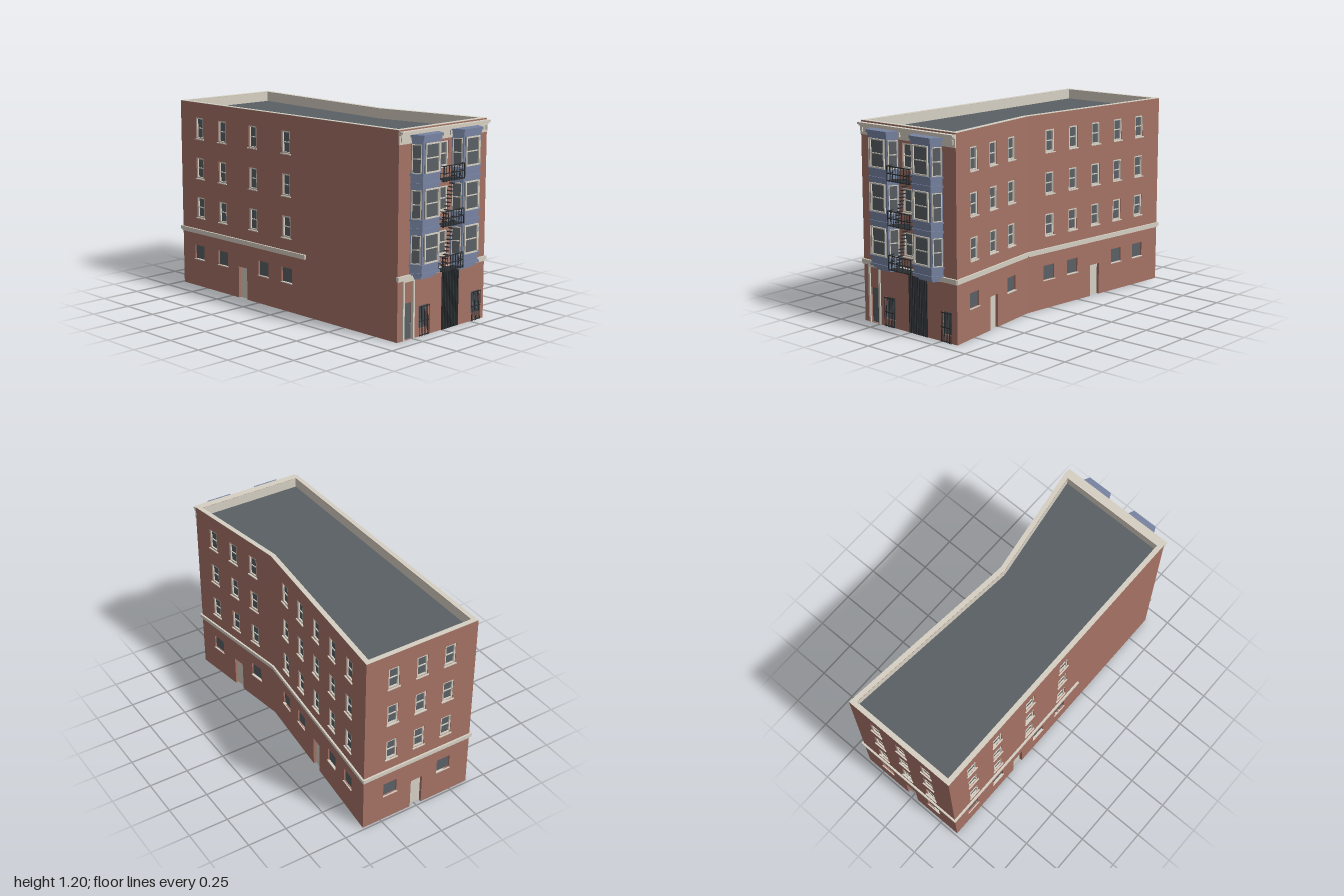
import * as THREE from 'three';

const paint = (name, color) => Object.assign(new THREE.MeshStandardMaterial({ color }), { name });

export function createModel() {
  const brick = paint('brick', 0xa57265);
  const cream = paint('cream stone', 0xd6d0c3);
  const liner = paint('interior plaster', 0xd6d0c3);
  liner.side = THREE.DoubleSide;
  const slate = paint('slate and glass', 0x5a6065);
  const blue = paint('bay blue', 0x7884a2);
  const iron = paint('black iron', 0x2b2f32);

  const model = new THREE.Group();
  model.name = 'cornerBuilding';
  const T = 0.03, H = 1.195, FZ = 0.92;
  const ROWS = [[0.455, 0.588], [0.71, 0.843], [0.965, 1.1]];

  const group = (parent, name) => {
    const g = new THREE.Group();
    g.name = name;
    parent.add(g);
    return g;
  };
  const add = (parent, name, geo, mat) => {
    const m = new THREE.Mesh(geo, mat);
    m.name = name;
    parent.add(m);
    return m;
  };
  const box = (parent, name, mat, x0, x1, y0, y1, z0, z1) => {
    const m = add(parent, name, new THREE.BoxGeometry(x1 - x0, y1 - y0, z1 - z0), mat);
    m.position.set((x0 + x1) / 2, (y0 + y1) / 2, (z0 + z1) / 2);
  };
  // square iron bar along one axis, between two points
  const bar = (parent, name, a, b, t) => {
    const h = t / 2;
    box(parent, name, iron, a[0] - h, b[0] + h, a[1] - h, b[1] + h, a[2] - h, b[2] + h);
  };

  // Footprint corners [x, z], front left round to back left
  const P = [[-0.375, FZ], [0.37, FZ], [0.26, 0.19], [0.372, -0.985], [-0.375, -0.985]]
    .map(p => new THREE.Vector2(...p));
  const N = P.length;
  const edgeDir = i => P[(i + 1) % N].clone().sub(P[i % N]).normalize();
  const inset = P.map((p, i) => {
    const a = edgeDir(i + N - 1), b = edgeDir(i);
    const n1 = new THREE.Vector2(a.y, -a.x), n2 = new THREE.Vector2(b.y, -b.x);
    return p.clone().addScaledVector(n1.clone().add(n2), T / (1 + n1.dot(n2)));
  });
  const flat = pts => pts.map(p => new THREE.Vector2(p.x, -p.y));

  // Double-hung window with frame of width f, meeting rail and optional sill
  function sashWindow(parent, u, y0, y1, w, z, f, sill) {
    const g = group(parent, 'sashWindow'), h = w / 2;
    g.position.x = u;
    box(g, 'glass', slate, -h, h, y0, y1, z - 0.003, z);
    for (const s of [-1, 1]) box(g, 'frameSide', cream, s * (h - f / 2) - f / 2, s * (h - f / 2) + f / 2, y0, y1, z, z + f);
    box(g, 'frameHead', cream, -h, h, y1 - f, y1, z, z + f);
    box(g, 'frameFoot', cream, -h, h, y0, y0 + f, z, z + f);
    const m = (y0 + y1) / 2;
    box(g, 'meetingRail', cream, -h, h, m - 0.003, m + 0.003, z, z + f * 0.6);
    if (sill) box(g, 'sill', cream, -h - 0.007, h + 0.007, y0 - 0.006, y0, -0.01, 0.008);
  }

  // Wall panel with mitred ends; doors are notches [u0, u1, h], holes are [u0, u1, y0, y1]
  function wall(i, name, doors, holes) {
    const a = P[i], b = P[(i + 1) % N], d = edgeDir(i), len = a.distanceTo(b);
    const g = group(model, name);
    g.position.set(a.x, 0, a.y);
    g.rotation.y = Math.atan2(-d.y, d.x);
    const s = new THREE.Shape().moveTo(0, 0);
    for (const [u0, u1, h] of doors.slice().sort((p, q) => p[0] - q[0]))
      s.lineTo(u0, 0).lineTo(u0, h).lineTo(u1, h).lineTo(u1, 0);
    s.lineTo(len, 0).lineTo(len, H).lineTo(0, H).closePath();
    const start = inset[i].clone().sub(a).dot(d), end = inset[(i + 1) % N].clone().sub(a).dot(d);
    const mitre = geo => {
      const p = geo.attributes.position;
      for (let k = 0; k < p.count; k++) {
        if (p.getZ(k) > -0.01) continue;
        if (p.getX(k) < 1e-4) p.setX(k, start);
        else if (p.getX(k) > len - 1e-4) p.setX(k, end);
      }
      geo.computeVertexNormals();
      return geo;
    };
    add(g, 'innerFace', mitre(new THREE.ShapeGeometry(s).translate(0, 0, -T - 0.001)), liner);
    for (const [u0, u1, y0, y1] of holes)
      s.holes.push(new THREE.Path().moveTo(u0, y0).lineTo(u0, y1).lineTo(u1, y1).lineTo(u1, y0).closePath());
    add(g, 'brickwork', mitre(new THREE.ExtrudeGeometry(s, { depth: T, bevelEnabled: false }).translate(0, 0, -T)), brick);
    return g;
  }
  const belt = (g, u0, u1) => {
    box(g, 'beltCourse', cream, u0, u1, 0.357, 0.378, -0.005, 0.012);
    box(g, 'beltCourseLower', cream, u0 + 0.005, u1 - 0.005, 0.348, 0.357, -0.005, 0.007);
  };

  // Side and back walls: columns, low windows and doors by distance along the wall
  function plainWall(i, name, cols, lows, doors, doorBack, beltEnds) {
    const holes = [];
    for (const u of cols) for (const [y0, y1] of ROWS) holes.push([u - 0.036, u + 0.036, y0, y1]);
    for (const u of lows) holes.push([u - 0.046, u + 0.046, 0.18, 0.27]);
    const g = wall(i, name, doors.map(u => [u - 0.04, u + 0.04, 0.2]), holes);
    for (const u of cols) for (const [y0, y1] of ROWS) sashWindow(g, u, y0, y1, 0.072, -0.012, 0.009, true);
    for (const u of lows) {
      box(g, 'lowWindow', slate, u - 0.046, u + 0.046, 0.18, 0.27, -0.014, -0.01);
      box(g, 'lowSill', cream, u - 0.05, u + 0.05, 0.175, 0.18, -0.01, 0.006);
    }
    for (const u of doors) {
      box(g, 'sideDoor', cream, u - 0.04, u + 0.04, 0, 0.2, -0.024, -0.018);
      box(g, 'sideDoorBack', doorBack, u - 0.04, u + 0.04, 0, 0.2, -0.033, -0.024);
    }
    belt(g, ...beltEnds);
  }
  const along = (i, zs) => zs.map(z => (z - P[i].y) / edgeDir(i).y);
  const len = i => P[i].distanceTo(P[(i + 1) % N]);
  plainWall(1, 'rightFrontWall', along(1, [0.75, 0.555, 0.365]), along(1, [0.75, 0.365]), along(1, [0.55]), cream, [-0.01, len(1)]);
  plainWall(2, 'rightBackWall', along(2, [0.005, -0.195, -0.395, -0.595, -0.795]),
    along(2, [0.008, -0.195, -0.595, -0.795]), along(2, [-0.398]), cream, [0, len(2) + 0.01]);
  plainWall(3, 'backWall', [0.184, 0.374, 0.564], [0.184, 0.564], [0.374], cream, [-0.007, len(3) + 0.01]);
  plainWall(4, 'leftWall', along(4, [-0.8, -0.58, -0.29, 0.01]), along(4, [-0.82, -0.585, -0.2, 0.01]),
    along(4, [-0.395]), slate, [-0.01, 1.167]);

  // Front wall, built in world x through an offset group
  const X = 0.375, mid = -0.005;
  const frontHoles = ROWS.map(([y0, y1]) => [mid - 0.038 + X, mid + 0.038 + X, y0 - 0.01, y1]);
  const barred = [[-0.198, -0.12], [0.256, 0.33]];
  for (const [a, b] of barred) frontHoles.push([a + X, b + X, 0.045, 0.18]);
  frontHoles.push([-0.322 + X, -0.252 + X, 0.002, 0.215]);
  const frontWall = wall(0, 'frontWall', [[-0.005 + X, 0.14 + X, 0.342]], frontHoles);
  belt(frontWall, -0.007, len(0) + 0.009);
  const front = group(model, 'frontDetails');
  front.position.z = FZ;
  for (const [y0, y1] of ROWS) sashWindow(front, mid, y0 - 0.01, y1, 0.076, -0.012, 0.009, true);

  // Entrance
  box(front, 'entranceDoor', slate, -0.322, -0.252, 0.002, 0.215, -0.02, -0.012);
  box(front, 'entrancePostLeft', cream, -0.335, -0.322, 0, 0.348, -0.01, 0.008);
  box(front, 'entrancePostRight', cream, -0.252, -0.239, 0, 0.348, -0.01, 0.008);
  box(front, 'entranceHead', cream, -0.322, -0.252, 0.338, 0.348, -0.01, 0.008);
  box(front, 'doorKnob', cream, -0.264, -0.26, 0.088, 0.092, -0.012, -0.005);

  // Folding gate
  for (let k = 0; k <= 10; k++) {
    const x = -0.005 + k * 0.0138;
    box(front, 'gateBar', iron, x, x + 0.0072, 0, 0.342, -0.02, 0.004);
  }
  for (const y of [0.006, 0.332]) box(front, 'gateRail', iron, -0.005, 0.14, y, y + 0.006, -0.012, -0.006);

  // Barred street windows
  for (const [a, b] of barred) {
    box(front, 'streetWindow', slate, a, b, 0.045, 0.18, -0.014, -0.01);
    for (let k = 0; k <= 6; k++) {
      const x = a + (b - a) * k / 6;
      bar(front, 'windowBar', [x, 0.003, 0.01], [x, 0.178, 0.01], 0.003);
    }
    for (const y of [0.008, 0.09, 0.175]) bar(front, 'windowRail', [a, y, 0.01], [b, y, 0.01], 0.005);
  }

  // Cornice with brackets
  [[1.115, 1.165, 0.006], [1.165, 1.176, 0.018], [1.176, 1.187, 0.03]].forEach(([y0, y1, d]) =>
    box(front, 'cornice', cream, -0.376, 0.37, y0, y1, -0.004, d));
  for (const x of [-0.36, -0.055, 0.045, 0.355]) box(front, 'corniceBracket', cream, x - 0.006, x + 0.006, 1.13, 1.157, 0, 0.014);

  // Bay windows
  for (const cx of [-0.175, 0.166]) {
    const bay = group(front, 'bayWindow');
    bay.position.x = cx;
    const prism = (name, y0, y1, o) => {
      const s = new THREE.Shape([[-0.103 - o, 0.003], [0.103 + o, 0.003], [0.103 + o, 0], [0.071 + o * 0.7, -0.062 - o],
        [-0.071 - o * 0.7, -0.062 - o], [-0.103 - o, 0]].map(p => new THREE.Vector2(...p)));
      add(bay, name, new THREE.ExtrudeGeometry(s, { depth: y1 - y0, bevelEnabled: false }).rotateX(-Math.PI / 2).translate(0, y0, 0), blue);
    };
    prism('bayBody', 0.372, 1.15, 0);
    prism('bayFoot', 0.345, 0.36, -0.024);
    prism('bayFootUpper', 0.358, 0.374, -0.01);
    prism('bayCrownLower', 1.118, 1.132, 0.004);
    prism('bayCrownMiddle', 1.132, 1.148, 0.008);
    prism('bayCrownTop', 1.148, 1.163, 0.014);
    for (const y of [0.438, 0.693, 0.948]) {
      prism('baySill', y - 0.012, y - 0.002, 0.008);
      prism('bayBand', y - 0.065, y - 0.052, 0.006);
      sashWindow(group(bay, 'bayFront').translateZ(0.063), 0, y, y + 0.168, 0.116, 0.001, 0.008, false);
      for (const s of [-1, 1]) {
        const side = group(bay, 'baySide');
        side.position.set(s * 0.087, 0, 0.031);
        side.rotation.y = s * Math.atan2(0.062, 0.032);
        sashWindow(side, 0, y, y + 0.163, 0.056, 0.002, 0.005, false);
      }
    }
  }

  // Fire escape: balconies, railings and stair treads
  const escape = group(front, 'fireEscape');
  const D = 0.077, W = 0.088, floors = [0.37, 0.628, 0.886];
  floors.forEach((y, n) => {
    box(escape, 'balconyFloor', iron, -W, W, y, y + 0.005, 0, D);
    for (const h of [0.045, 0.087]) {
      bar(escape, 'railFront', [-W, y + h, D], [W, y + h, D], 0.005);
      for (const s of [-W, W]) bar(escape, 'railSide', [s, y + h, 0], [s, y + h, D], 0.004);
    }
    for (let k = 0; k <= 8; k++) {
      const x = -W + W * k / 4;
      bar(escape, 'baluster', [x, y, D], [x, y + 0.087, D], k % 8 ? 0.003 : 0.005);
    }
    for (const s of [-W, W]) for (const z of [0.02, 0.047]) bar(escape, 'sideBaluster', [s, y, z], [s, y + 0.087, z], 0.003);
    if (n === 2) return;
    const top = floors[n + 1] + 0.06;
    for (let k = 1; k < 15; k++) {
      const t = k / 15, x = -0.05 + 0.09 * t, yy = y + (top - y) * t;
      box(escape, 'stairTread', iron, x - 0.009, x + 0.009, yy, yy + 0.004, 0.03, 0.06);
    }
  });

  // Roof deck and parapet coping
  const up = geo => geo.rotateX(-Math.PI / 2);
  add(model, 'roofDeck', up(new THREE.ExtrudeGeometry(new THREE.Shape(flat(inset)), { depth: 0.01, bevelEnabled: false })).translate(0, 1.125, 0), slate);
  const ring = new THREE.Shape(flat(P));
  ring.holes.push(new THREE.Path(flat(inset)));
  add(model, 'parapetCoping', up(new THREE.ExtrudeGeometry(ring, { depth: 0.002, bevelEnabled: false })).translate(0, H, 0), cream);

  return model;
}
